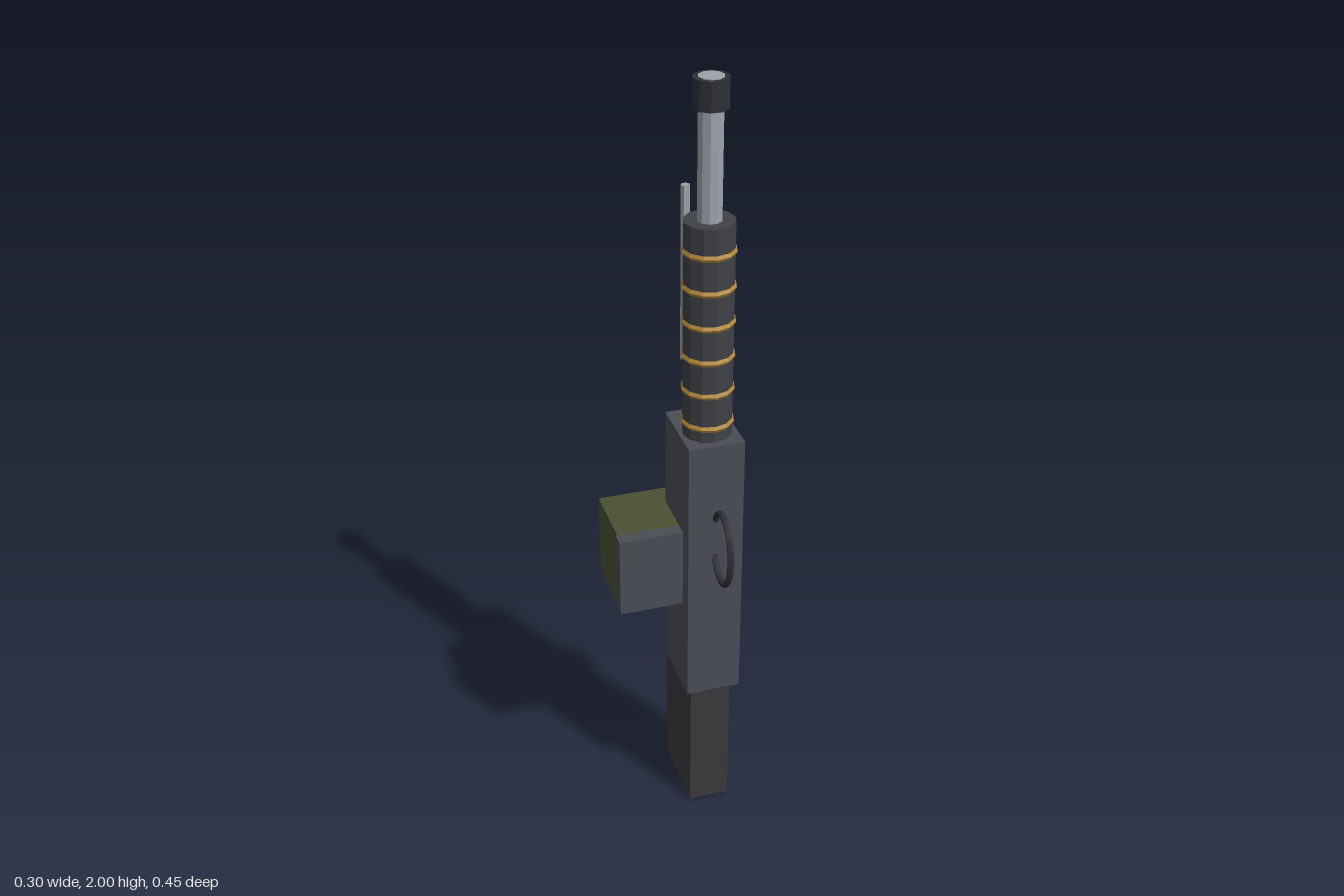
import * as THREE from 'three';

const mat = (color) => new THREE.MeshStandardMaterial({ color, flatShading: true });
const steel = mat(0x4a4d55), dark = mat(0x3f4146), polymer = mat(0x3c383c);
const silver = mat(0x9da2aa), brass = mat(0xb08638), olive = mat(0x4b5034), black = mat(0x2e3036);

const CX = 0.08; // centre line of the body
const BZ = 0.025; // depth of the barrel axis

export function createModel() {
  const model = new THREE.Group();
  model.name = 'model';

  const add = (name, geometry, material, x, y, z) => {
    const mesh = new THREE.Mesh(geometry, material);
    mesh.name = name;
    mesh.position.set(x, y, z);
    model.add(mesh);
    return mesh;
  };
  // Box given by its limits on each axis
  const box = (name, material, [x0, x1], [y0, y1], [z0, z1]) =>
    add(name, new THREE.BoxGeometry(x1 - x0, y1 - y0, z1 - z0), material,
      (x0 + x1) / 2, (y0 + y1) / 2, (z0 + z1) / 2);
  // Upright cylinder from y0 to y1, with a corner on the x axis
  const rod = (name, material, r, sides, x, z, y0, y1) => {
    const g = new THREE.CylinderGeometry(r, r, y1 - y0, sides).rotateY(Math.PI / 2);
    return add(name, g, material, x, (y0 + y1) / 2, z);
  };

  // Body and stock
  box('receiver', steel, [0.01, 0.15], [0.39, 1.125], [-0.088, 0.104]);
  box('stock', polymer, [0.027, 0.133], [0, 0.39], [-0.132, 0.08]);

  // Side box with its feed plate
  box('sideBox', olive, [-0.148, 0.027], [0.65, 0.865], [-0.15, 0.025]);
  box('feedPlate', steel, [-0.152, 0.03], [0.65, 0.865], [0.025, 0.06]);

  // Sleeve, tube and end collar
  rod('sleeve', dark, 0.061, 12, CX, BZ, 1.12, 1.67);
  rod('tube', silver, 0.03, 10, CX, BZ, 1.6, 2.0);
  rod('endCollar', black, 0.042, 10, CX, BZ, 1.93, 1.998);

  // Brass bands around the sleeve
  const band = new THREE.TorusGeometry(0.056, 0.0095, 6, 12).rotateX(Math.PI / 2);
  for (let i = 0; i < 6; i++) add('band', band, brass, CX, 1.16 + i * 0.0878, BZ);

  // Pair of folded legs behind the sleeve
  for (const side of [-1, 1]) rod('foldedLeg', silver, 0.011, 6, CX + side * 0.035, -0.045, 1.29, 1.73);

  // Oval carry handle at the front
  const handle = new THREE.TorusGeometry(0.097, 0.0085, 6, 20).rotateY(Math.PI / 2).scale(1, 1, 0.66);
  add('carryHandle', handle, black, CX, 0.863, 0.154);

  // Tilted grip at the back, with a ring guard above it
  const grip = add('grip', new THREE.BoxGeometry(0.07, 0.082, 0.16), polymer, CX, 0.548, -0.139);
  grip.rotation.x = -0.2;
  const guard = new THREE.TorusGeometry(0.036, 0.006, 6, 14).rotateY(Math.PI / 2);
  add('ringGuard', guard, black, CX, 0.627, -0.085);

  return model;
}
